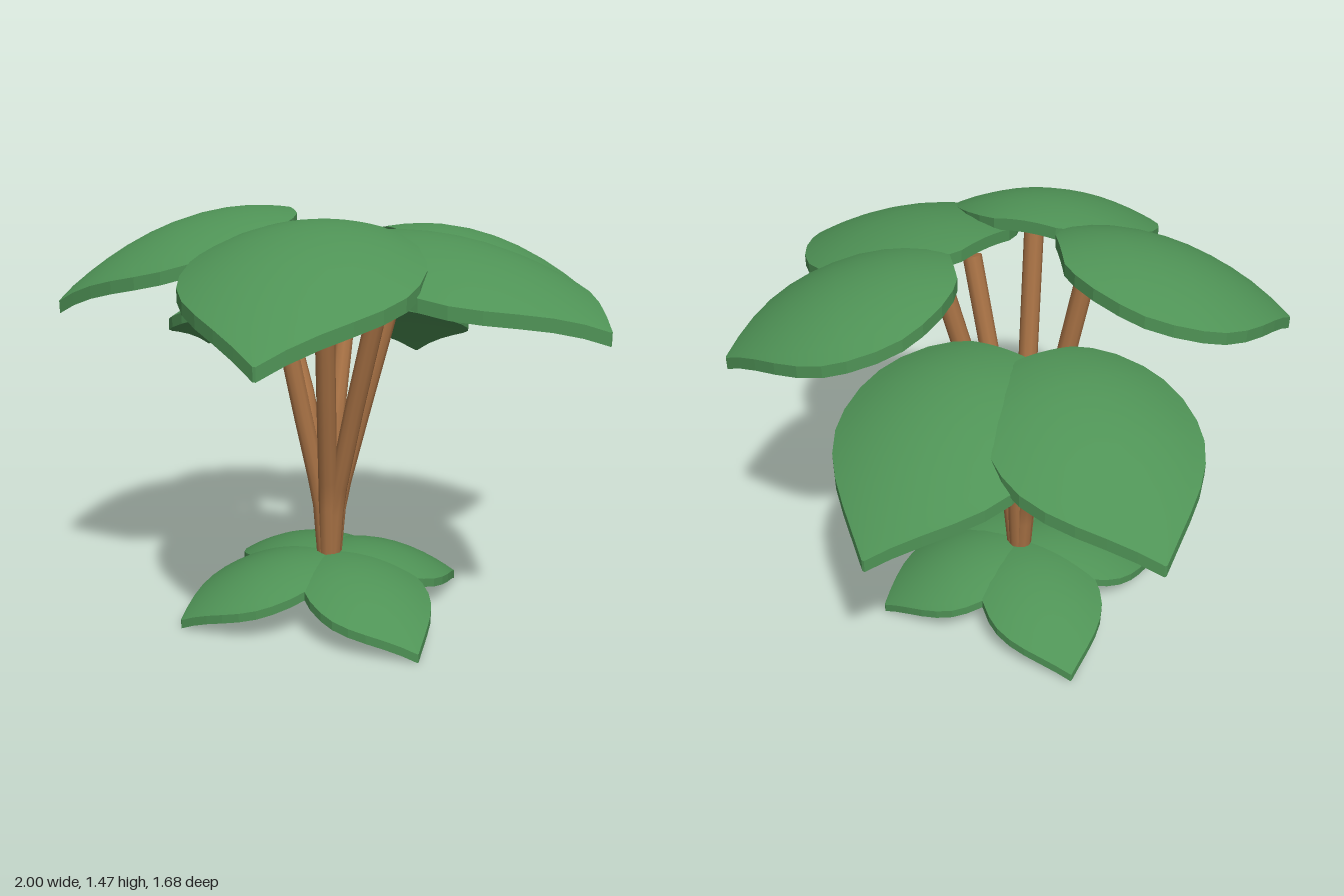
import * as THREE from 'three';
import { mergeVertices } from 'three/addons/utils/BufferGeometryUtils.js';

const green = new THREE.MeshStandardMaterial({ color: 0x4f9356 });
green.name = 'leafGreen';
const brown = new THREE.MeshStandardMaterial({ color: 0xa87245 });
brown.name = 'stemBrown';

// Half-width of a leaf along its length, relative to the widest point
const OUTLINE = [[0, 0.3], [0.03, 0.47], [0.09, 0.66], [0.18, 0.84], [0.27, 0.95], [0.38, 1],
  [0.5, 0.99], [0.6, 0.93], [0.7, 0.8], [0.79, 0.62], [0.87, 0.41], [0.94, 0.2], [1, 0.012]];
const ACROSS = 12;

// Blunt-based, pointed leaf of even thickness, arched along and across
function leafGeometry({ base, tip, top, drop, width, thick, sag }) {
  const dir = new THREE.Vector2(tip[0] - base[0], tip[1] - base[1]);
  const len = dir.length();
  dir.normalize();
  const point = (i, j, lower) => {
    const [u, w] = OUTLINE[i];
    const v = (j / ACROSS) * 2 - 1;
    const side = v * w * width;
    const bend = ((u - 0.15) / 0.85) ** 2;
    const y = top - drop * bend - sag * (v * w) ** 2 - (lower ? thick : 0);
    return [base[0] + dir.x * u * len - dir.y * side, y, base[1] + dir.y * u * len + dir.x * side];
  };
  const last = OUTLINE.length - 1;
  const sheet = (lower) => {
    const out = [];
    for (let i = 0; i < last; i++) {
      for (let j = 0; j < ACROSS; j++) {
        const a = point(i, j, lower), b = point(i + 1, j, lower);
        const c = point(i + 1, j + 1, lower), d = point(i, j + 1, lower);
        if (lower) out.push(...a, ...b, ...c, ...a, ...c, ...d);
        else out.push(...a, ...c, ...b, ...a, ...d, ...c);
      }
    }
    return out;
  };
  // Rim joins the two sheets around the outline
  const loop = [];
  for (let i = 0; i <= last; i++) loop.push([i, ACROSS]);
  for (let j = ACROSS - 1; j >= 0; j--) loop.push([last, j]);
  for (let i = last - 1; i >= 0; i--) loop.push([i, 0]);
  for (let j = 1; j < ACROSS; j++) loop.push([0, j]);
  const rim = [];
  loop.forEach((p, k) => {
    const q = loop[(k + 1) % loop.length];
    const a = point(...p, false), b = point(...q, false);
    const c = point(...p, true), d = point(...q, true);
    rim.push(...a, ...c, ...b, ...b, ...c, ...d);
  });
  return [sheet(false), sheet(true), rim].map((positions, k) => {
    let g = new THREE.BufferGeometry();
    g.setAttribute('position', new THREE.Float32BufferAttribute(positions, 3));
    if (k < 2) g = mergeVertices(g, 1e-5);
    g.computeVertexNormals();
    return g;
  });
}

function makeLeaf(name, options) {
  const leaf = new THREE.Group();
  leaf.name = name;
  const names = ['upperFace', 'underside', 'rim'];
  leafGeometry(options).forEach((g, k) => {
    const mesh = new THREE.Mesh(g, green);
    mesh.name = names[k];
    leaf.add(mesh);
  });
  return leaf;
}

// Stem of three gently bent sections, from the common root to its leaf
function makeStem(name, [x, y, z]) {
  const root = new THREE.Vector3(-0.033, 0.05, 0.05);
  const at = (f, h) => new THREE.Vector3(root.x + (x - root.x) * f, h, root.z + (z - root.z) * f);
  const path = new THREE.CurvePath();
  const pts = [root, at(0.12, 0.42), at(0.44, 0.76), at(1, y)];
  for (let i = 0; i < 3; i++) path.add(new THREE.LineCurve3(pts[i], pts[i + 1]));
  const stem = new THREE.Group();
  stem.name = name;
  const tube = new THREE.Mesh(new THREE.TubeGeometry(path, 12, 0.034, 10), brown);
  tube.name = 'stemTube';
  stem.add(tube);
  // End caps
  [[pts[0], pts[1]], [pts[3], pts[2]]].forEach(([end, inner], k) => {
    const cap = new THREE.Mesh(new THREE.CircleGeometry(0.034, 10), brown);
    cap.name = k ? 'topCap' : 'bottomCap';
    cap.position.copy(end);
    cap.quaternion.setFromUnitVectors(new THREE.Vector3(0, 0, 1), end.clone().sub(inner).normalize());
    stem.add(cap);
  });
  return stem;
}

export function createModel() {
  const model = new THREE.Group();
  model.name = 'leafyPlant';

  // Canopy: each large leaf with the stem that carries it
  const canopy = [
    { id: 'Right', base: [-0.24, 0], tip: [-1, -0.1], top: 1.175, drop: 0.32, width: 0.345, stem: [-0.36, 1.12, 0.01] },
    { id: 'Left', base: [0.16, 0.03], tip: [1, -0.17], top: 1.41, drop: 0.245, width: 0.385, stem: [0.25, 1.3, 0.03] },
    { id: 'BackRight', base: [-0.12, -0.1], tip: [-0.46, -0.8], top: 1.165, drop: 0.35, width: 0.35, stem: [-0.19, 1.11, -0.18] },
    { id: 'BackLeft', base: [0.08, -0.15], tip: [0.37, -0.85], top: 1.4, drop: 0.285, width: 0.35, stem: [0.12, 1.34, -0.18] },
    { id: 'FrontRight', base: [-0.14, 0.12], tip: [-0.51, 0.82], top: 1.47, drop: 0.3, width: 0.35, stem: [-0.17, 1.4, 0.22] },
    { id: 'FrontLeft', base: [0.12, 0.16], tip: [0.6, 0.83], top: 1.455, drop: 0.31, width: 0.37, stem: [0.15, 1.39, 0.22] },
  ];
  for (const c of canopy) {
    model.add(makeLeaf('canopyLeaf' + c.id, { ...c, thick: 0.042, sag: 0.095 }));
    model.add(makeStem('stem' + c.id, c.stem));
  }

  // Four small leaves around the foot
  const root = [-0.03, 0.05];
  const feet = [['Left', 0.515, 0.12], ['Right', -0.57, -0.09], ['Front', -0.22, 0.58], ['Back', 0.11, -0.47]];
  for (const [id, x, z] of feet) {
    const base = [root[0] + (x - root[0]) * 0.03, root[1] + (z - root[1]) * 0.03];
    model.add(makeLeaf('footLeaf' + id,
      { base, tip: [x, z], top: 0.22, drop: 0.188, width: 0.22, thick: 0.032, sag: 0.055 }));
  }
  return model;
}
